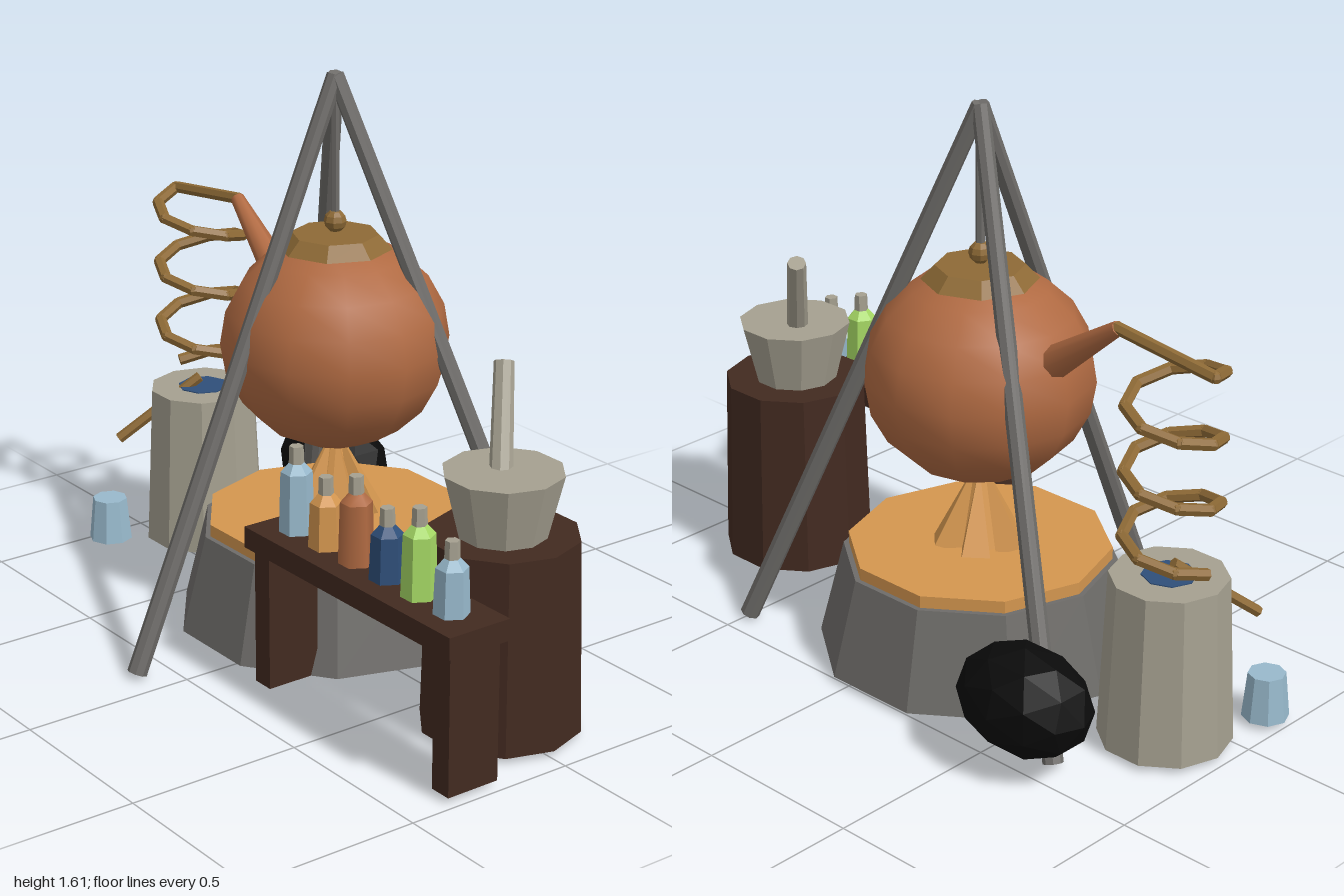
import * as THREE from 'three';

const mat = (name, color, flat = true) => {
  const m = new THREE.MeshStandardMaterial({ color, flatShading: flat });
  m.name = name;
  return m;
};

export function createModel() {
  const M = {
    iron: mat('iron grey', 0x6e6c69),
    copper: mat('copper', 0xb06a42, false),
    brass: mat('brass', 0x8e6a36),
    ember: mat('ember orange', 0xd4964f),
    stone: mat('pale stone', 0xa5a090),
    wood: mat('dark wood', 0x422a20),
    coal: mat('coal black', 0x0b0b0b),
    glass: mat('pale blue glass', 0x98b9cc),
    blue: mat('deep blue', 0x2f4f7a),
    lime: mat('lime', 0xa5d864),
  };
  const root = new THREE.Group();
  root.name = 'alchemyStill';

  const add = (name, geo, material, x = 0, y = 0, z = 0, parent = root) => {
    const mesh = new THREE.Mesh(geo, material);
    mesh.name = name;
    mesh.position.set(x, y, z);
    parent.add(mesh);
    return mesh;
  };
  // Upright tapered prism between two heights, with corners on the x axis
  const prism = (name, material, x, z, y0, y1, r0, r1, sides = 10, parent = root) => {
    const mesh = add(name, new THREE.CylinderGeometry(r1, r0, y1 - y0, sides), material, x, (y0 + y1) / 2, z, parent);
    mesh.rotation.y = Math.PI / 2;
    return mesh;
  };
  // Tapered rod between two points
  const rod = (name, material, a, b, ra, rb, sides = 8) => {
    const A = new THREE.Vector3(...a), B = new THREE.Vector3(...b);
    const dir = B.clone().sub(A);
    const mesh = add(name, new THREE.CylinderGeometry(rb, ra, dir.length(), sides), material);
    mesh.position.copy(A).add(B).multiplyScalar(0.5);
    mesh.quaternion.setFromUnitVectors(new THREE.Vector3(0, 1, 0), dir.normalize());
    return mesh;
  };

  const CX = -0.096, CZ = -0.08;

  // Hearth, ember bed and flames
  prism('hearth', M.iron, CX, CZ, 0.02, 0.3, 0.455, 0.385);
  prism('emberBed', M.ember, CX, CZ, 0.3, 0.335, 0.37, 0.37);
  rod('flameCore', M.ember, [CX, 0.33, CZ], [CX, 0.56, CZ], 0.09, 0.002, 5);
  for (let i = 0; i < 5; i++) {
    const a = (i / 5) * Math.PI * 2, s = Math.sin(a), c = Math.cos(a);
    rod('flame', M.ember, [CX + s * 0.09, 0.33, CZ + c * 0.09], [CX + s * 0.025, 0.53, CZ + c * 0.025], 0.055, 0.008, 4);
  }

  // Copper pot, collar, lid and hanging rod
  const pot = add('pot', new THREE.SphereGeometry(0.322, 12, 10), M.copper, CX, 0.845, CZ);
  pot.scale.y = 0.94;
  prism('potCollar', M.copper, CX, CZ, 1.05, 1.115, 0.165, 0.135, 8);
  prism('lid', M.brass, CX, CZ, 1.115, 1.155, 0.16, 0.122, 8);
  add('lidKnob', new THREE.SphereGeometry(0.032, 8, 6), M.brass, CX, 1.19, CZ);
  rod('hangingRod', M.iron, [CX, 1.2, CZ], [CX, 1.6, CZ], 0.013, 0.013, 6);

  // Tripod legs meeting above the pot
  for (let i = 0; i < 3; i++) {
    const a = (i / 3) * Math.PI * 2;
    rod('tripodLeg', M.iron, [CX + Math.sin(a) * 0.68, 0.015, CZ + Math.cos(a) * 0.68], [CX, 1.6, CZ], 0.028, 0.024);
  }

  // Spout and condenser coil
  rod('spout', M.copper, [CX - 0.24, 0.93, -0.085], [-0.61, 1.13, -0.11], 0.05, 0.02);
  const TX = -0.802, TZ = -0.11, coilR = 0.127, per = 8;
  const pts = [new THREE.Vector3(-0.6, 1.13, TZ)];
  for (let i = 0; i <= 3 * per; i++) {
    const a = (i / per) * Math.PI * 2;
    pts.push(new THREE.Vector3(TX - Math.cos(a) * coilR, 1.09 - (i / per) * 0.183, TZ + Math.sin(a) * coilR));
  }
  const path = new THREE.CurvePath();
  for (let i = 1; i < pts.length; i++) path.add(new THREE.LineCurve3(pts[i - 1], pts[i]));
  for (let i = 1; i < pts.length; i++) {
    rod('coilSegment', M.brass, pts[i - 1].toArray(), pts[i].toArray(), 0.017, 0.017, 6);
    if (i < pts.length - 1) add('coilJoint', new THREE.SphereGeometry(0.017, 6, 4), M.brass, ...pts[i].toArray());
  }
  rod('outletPipe', M.brass, [-0.805, 0.525, -0.1], [-0.92, 0.34, 0.12], 0.016, 0.016, 6);

  // Cooling barrel with water, and the cup under the outlet
  prism('coolingBarrel', M.stone, TX, TZ, 0.02, 0.495, 0.182, 0.16);
  prism('coolingWater', M.blue, TX, TZ, 0.493, 0.498, 0.075, 0.075, 8);
  prism('collectingCup', M.glass, -0.935, 0.15, 0.02, 0.15, 0.065, 0.052, 8);

  // Lump of coal behind the hearth
  const coal = add('coalHeap', new THREE.IcosahedronGeometry(1, 1), M.coal, -0.64, 0.215, -0.482);
  coal.scale.set(0.205, 0.15, 0.145);

  // Stump with mortar and pestle
  prism('stump', M.wood, 0.725, -0.01, 0.02, 0.56, 0.22, 0.205);
  prism('mortar', M.stone, 0.725, -0.005, 0.56, 0.735, 0.12, 0.163);
  rod('pestle', M.stone, [0.72, 0.68, 0], [0.6, 0.975, -0.105], 0.032, 0.027);

  // Bench
  add('benchTop', new THREE.BoxGeometry(0.872, 0.06, 0.193), M.wood, 0.563, 0.445, 0.294);
  for (const x of [0.178, 0.945]) {
    add('benchLeg', new THREE.BoxGeometry(0.065, 0.4, 0.16), M.wood, x, 0.22, 0.29);
  }

  // Row of corked bottles
  const bottleMats = [M.glass, M.ember, M.copper, M.blue, M.lime, M.glass];
  bottleMats.forEach((material, i) => {
    const bottle = new THREE.Group();
    bottle.name = 'bottle';
    bottle.position.set(0.233 + i * 0.1308, 0.475, 0.294);
    root.add(bottle);
    const h = i % 2 ? 0.125 : 0.17;
    prism('bottleBody', material, 0, 0, 0, h, 0.048, 0.043, 6, bottle);
    prism('bottleShoulder', material, 0, 0, h, h + 0.025, 0.043, 0.021, 6, bottle);
    prism('cork', M.stone, 0, 0, h + 0.02, h + 0.073, 0.021, 0.019, 6, bottle);
  });

  return root;
}
